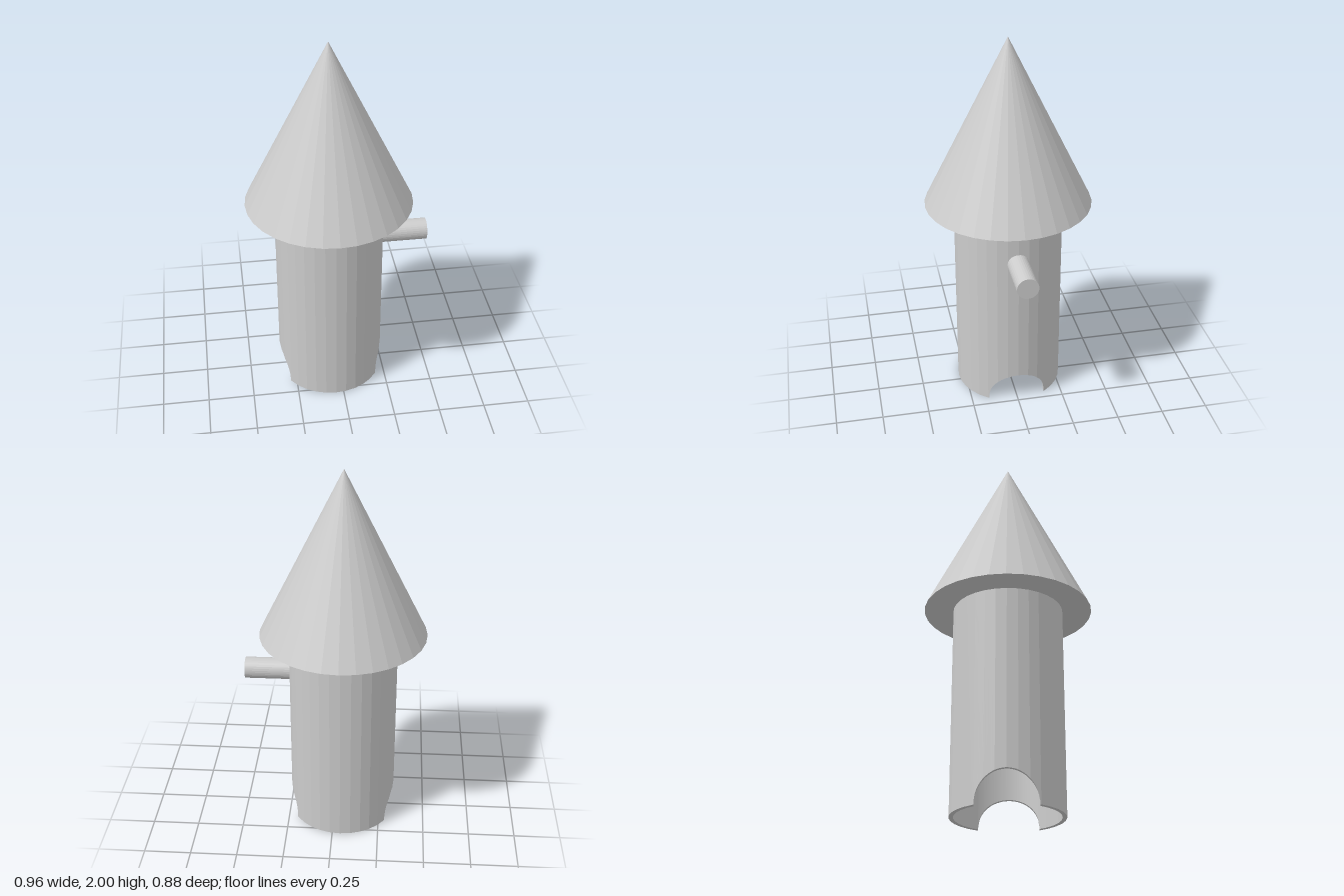
import * as THREE from 'three';

const SIDES = 32, STEP = (Math.PI * 2) / SIDES;
const AXIS_X = -0.042, WALL_TOP = 1.105;
const OUTER = 0.288, INNER = 0.266;
const ARCH_R = 0.155, ARCH_Y = 0.01;

// Point on a regular 32-sided ring at a given angle
function ringPoint(angle, radius) {
  const middle = (Math.floor(angle / STEP) + 0.5) * STEP;
  const r = (radius * Math.cos(STEP / 2)) / Math.cos(angle - middle);
  return [r * Math.cos(angle), r * Math.sin(angle)];
}

// Columns for half of the wall: one arch centred on +x, then the plain side
function halfColumns() {
  const columns = [];
  const end = Math.asin(ARCH_R / OUTER), innerEnd = Math.asin(ARCH_R / INNER);
  const stops = [-end, -2 * STEP, -STEP, 0, STEP, 2 * STEP, end];
  const angles = [-end];
  for (let i = 0; i < stops.length - 1; i++) {
    for (let k = 1; k <= 8; k++) angles.push(THREE.MathUtils.lerp(stops[i], stops[i + 1], k / 8));
  }
  for (const a of angles) {
    const out = ringPoint(a, OUTER);
    const z = THREE.MathUtils.clamp(out[1], -ARCH_R, ARCH_R);
    const bottom = ARCH_Y + Math.sqrt(Math.max(0, ARCH_R ** 2 - z ** 2));
    columns.push({ out, in: [Math.sqrt(INNER ** 2 - z ** 2), z], bottom });
  }
  const last = columns[columns.length - 1];
  columns.push({ ...last, bottom: 0 });
  for (let i = 3; i <= 13; i++) {
    const a = i * STEP;
    const innerAngle = THREE.MathUtils.clamp(a, innerEnd, Math.PI - innerEnd);
    columns.push({ out: ringPoint(a, OUTER), in: ringPoint(innerAngle, INNER), bottom: 0 });
  }
  // Foot of the opposite arch
  const mirror = (p) => [-p[0], p[1]];
  columns.push({ out: mirror(last.out), in: mirror(last.in), bottom: 0 });
  return columns;
}

// Hollow wall with an arched opening on each side
function wallGeometry() {
  const half = halfColumns();
  const turn = (p) => [-p[0], -p[1]];
  const columns = [...half, ...half.map((c) => ({ out: turn(c.out), in: turn(c.in), bottom: c.bottom }))];
  const positions = [];
  const quad = (a, b, c, d) => positions.push(...a, ...b, ...c, ...a, ...c, ...d);
  const at = (p, y) => [p[0], y, p[1]];
  columns.forEach((c, i) => {
    const n = columns[(i + 1) % columns.length];
    quad(at(c.out, c.bottom), at(c.out, WALL_TOP), at(n.out, WALL_TOP), at(n.out, n.bottom));
    quad(at(c.in, c.bottom), at(n.in, n.bottom), at(n.in, WALL_TOP), at(c.in, WALL_TOP));
    quad(at(c.out, c.bottom), at(n.out, n.bottom), at(n.in, n.bottom), at(c.in, c.bottom));
  });
  const geometry = new THREE.BufferGeometry();
  geometry.setAttribute('position', new THREE.Float32BufferAttribute(positions, 3));
  geometry.computeVertexNormals();
  return geometry;
}

export function createModel() {
  const group = new THREE.Group();
  group.name = 'tower';
  const material = new THREE.MeshStandardMaterial({ color: 0xcccccc, flatShading: true });
  const add = (name, geometry, x, y, z) => {
    const mesh = new THREE.Mesh(geometry, material);
    mesh.name = name;
    mesh.position.set(x, y, z);
    group.add(mesh);
    return mesh;
  };

  add('wall', wallGeometry(), AXIS_X, 0, 0);

  // Pointed roof with a closed underside
  const roofHeight = 2 - WALL_TOP;
  add('roof', new THREE.ConeGeometry(0.44, roofHeight, SIDES), AXIS_X, WALL_TOP + roofHeight / 2, 0);

  // Peg set into the wall
  const pegStart = 0.235, pegEnd = 0.482;
  const peg = add('peg', new THREE.CylinderGeometry(0.057, 0.057, pegEnd - pegStart, SIDES),
    (pegStart + pegEnd) / 2, 0.875, 0.002);
  peg.rotation.z = -Math.PI / 2;

  return group;
}
